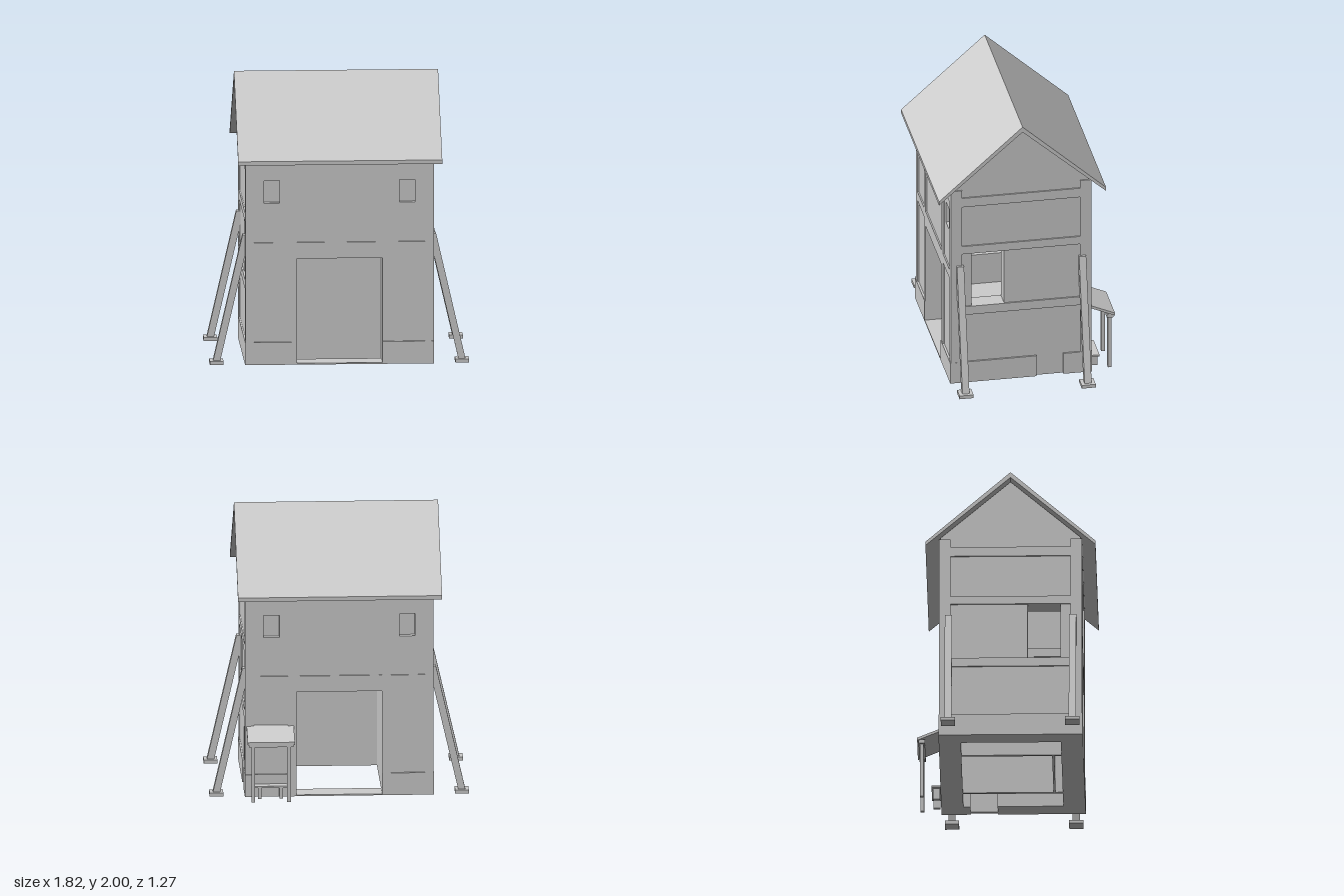
import * as THREE from 'three';

export function createModel() {
  const model = new THREE.Group();
  const house = new THREE.Group();
  house.name = 'house';
  house.position.z = 0.04; // ridge line of the house
  model.add(house);
  const plaster = new THREE.MeshStandardMaterial({ color: 0xcccccc });
  plaster.name = 'plainGrey';

  const add = (name, geo) => {
    const m = new THREE.Mesh(geo, plaster);
    m.name = name;
    house.add(m);
    return m;
  };
  // box given by its extents
  const box = (name, x0, x1, y0, y1, z0, z1) => {
    const m = add(name, new THREE.BoxGeometry(x1 - x0, y1 - y0, z1 - z0));
    m.position.set((x0 + x1) / 2, (y0 + y1) / 2, (z0 + z1) / 2);
    return m;
  };
  const poly = pts => new THREE.Shape(pts.map(p => new THREE.Vector2(...p)));
  const hole = (shape, a, b, c, d) =>
    shape.holes.push(new THREE.Path([[a, c], [a, d], [b, d], [b, c]].map(p => new THREE.Vector2(...p))));
  const extrude = (shape, depth) => new THREE.ExtrudeGeometry(shape, { depth, bevelEnabled: false });
  // profile drawn in (-z, y), extruded along x from x0
  const extrudeX = (name, shape, x0, depth) => {
    const m = add(name, extrude(shape, depth).rotateY(Math.PI / 2));
    m.position.x = x0;
    return m;
  };

  // roof
  extrudeX('roof', poly([[-0.595, 1.44], [0, 1.96], [0.595, 1.44], [0.595, 1.468], [0, 2], [-0.595, 1.468]]), -0.715, 1.43);

  // front and back walls with gateway and small blind windows
  for (const s of [1, -1]) {
    const wall = poly([[-0.65, 0], [-0.3, 0], [-0.3, 0.755], [0.3, 0.755], [0.3, 0], [0.65, 0], [0.65, 1.51], [-0.65, 1.51]]);
    for (const t of [1, -1]) {
      const [a, b] = t > 0 ? [0.42, 0.57] : [-0.57, -0.42];
      hole(wall, a, b, 1.15, 1.31);
      box('blindWindow', a, b, 1.15, 1.31, s * 0.44 - 0.01, s * 0.44 + 0.01);
    }
    add(s > 0 ? 'frontWall' : 'backWall', extrude(wall, 0.14)).position.z = s > 0 ? 0.35 : -0.49;

    // timber frame and plinth on this wall
    const strip = (name, x0, x1, y0, y1, out = 0.5) =>
      box(name, x0, x1, y0, y1, s > 0 ? 0.485 : -out, s > 0 ? out : -0.485);
    for (const t of [1, -1]) {
      const span = (a, b) => (t > 0 ? [a, b] : [-b, -a]);
      strip('gatePost', ...span(0.3, 0.36), 0, 1.51);
      strip('bayBeam', ...span(0.36, 0.6), 0.8, 0.87);
      strip('plinth', ...span(0.3, 0.662), 0, 0.16, 0.505);
    }
    strip('gateLintel', -0.3, 0.3, 0.755, 0.87);
    strip('wallPlate', -0.6, 0.6, 1.4, 1.51);
    box('gateSill', -0.3, 0.3, 0, 0.01, s > 0 ? 0.35 : -0.505, s > 0 ? 0.505 : -0.35);
  }

  // gable walls with a side window; the left one also has a small door
  for (const s of [1, -1]) {
    const doorway = s > 0 ? [[0.11, 0], [0.11, 0.415], [0.3, 0.415], [0.3, 0]] : [];
    const gable = poly([[-0.49, 0], ...doorway, [0.49, 0], [0.49, 1.525], [0, 1.955], [-0.49, 1.525]]);
    hole(gable, -0.36, -0.12, 0.595, 1.01);
    extrudeX('gableWall', gable, s > 0 ? 0.53 : -0.65, 0.12);

    const strip = (name, z0, z1, y0, y1, out = 0.66) =>
      box(name, s > 0 ? 0.645 : -out, s > 0 ? out : -0.645, y0, y1, z0, z1);
    strip('lowerBeam', -0.42, 0.42, 0.53, 0.595);
    strip('middleBeam', -0.42, 0.42, 1.01, 1.07);
    strip('upperBeam', -0.42, 0.42, 1.38, 1.45);
    if (s > 0) {
      strip('sidePlinth', -0.505, -0.3, 0, 0.16, 0.662);
      strip('sidePlinth', -0.11, 0.505, 0, 0.16, 0.662);
      box('sideDoor', 0.62, 0.642, 0, 0.415, -0.3, -0.11);
    } else strip('sidePlinth', -0.505, 0.505, 0, 0.16, 0.662);
  }

  // corner posts, diagonal props and their footings
  for (const sx of [1, -1]) for (const sz of [1, -1]) {
    const x = sx * 0.63, z = sz * 0.46;
    box('cornerPost', x - 0.03, x + 0.03, 0, 1.51, z - 0.04, z + 0.04);
    const prop = poly([[0.65, 0.82], [0.835, 0.02], [0.885, 0.02], [0.678, 0.92], [0.65, 0.92]].map(([a, b]) => [sx * a, b]));
    add('prop', extrude(prop, 0.05)).position.z = sz * 0.435 - 0.025;
    box('footing', sx * 0.86 - 0.048, sx * 0.86 + 0.048, 0, 0.025, sz * 0.435 - 0.05, sz * 0.435 + 0.05);
  }

  // inside: passage walls and ceiling, closing panel, floors of the side rooms
  for (const s of [1, -1]) {
    box('passageWall', s * 0.31 - 0.01, s * 0.31 + 0.01, 0, 0.77, -0.36, 0.36);
    box('sideRoomFloor', s * 0.43 - 0.11, s * 0.43 + 0.11, 0.56, 0.59, -0.36, 0.36);
  }
  box('passageCeiling', -0.325, 0.325, 0.756, 0.82, -0.36, 0.36);
  box('gatePanel', -0.3, 0.3, 0, 0.756, 0.285, 0.3);

  // back porch with bench
  extrudeX('porchRoof', poly([[0.49, 0.495], [0.67, 0.418], [0.67, 0.438], [0.49, 0.515]]), 0.32, 0.33);
  box('porchBeam', 0.33, 0.64, 0.4, 0.428, -0.66, -0.615);
  for (const x of [0.36, 0.61]) box('porchPost', x - 0.013, x + 0.013, 0, 0.42, -0.65, -0.625);
  box('benchSeat', 0.37, 0.6, 0.08, 0.093, -0.57, -0.5);
  for (const x of [0.41, 0.56]) box('benchLeg', x - 0.012, x + 0.012, 0, 0.08, -0.56, -0.51);

  return model;
}
